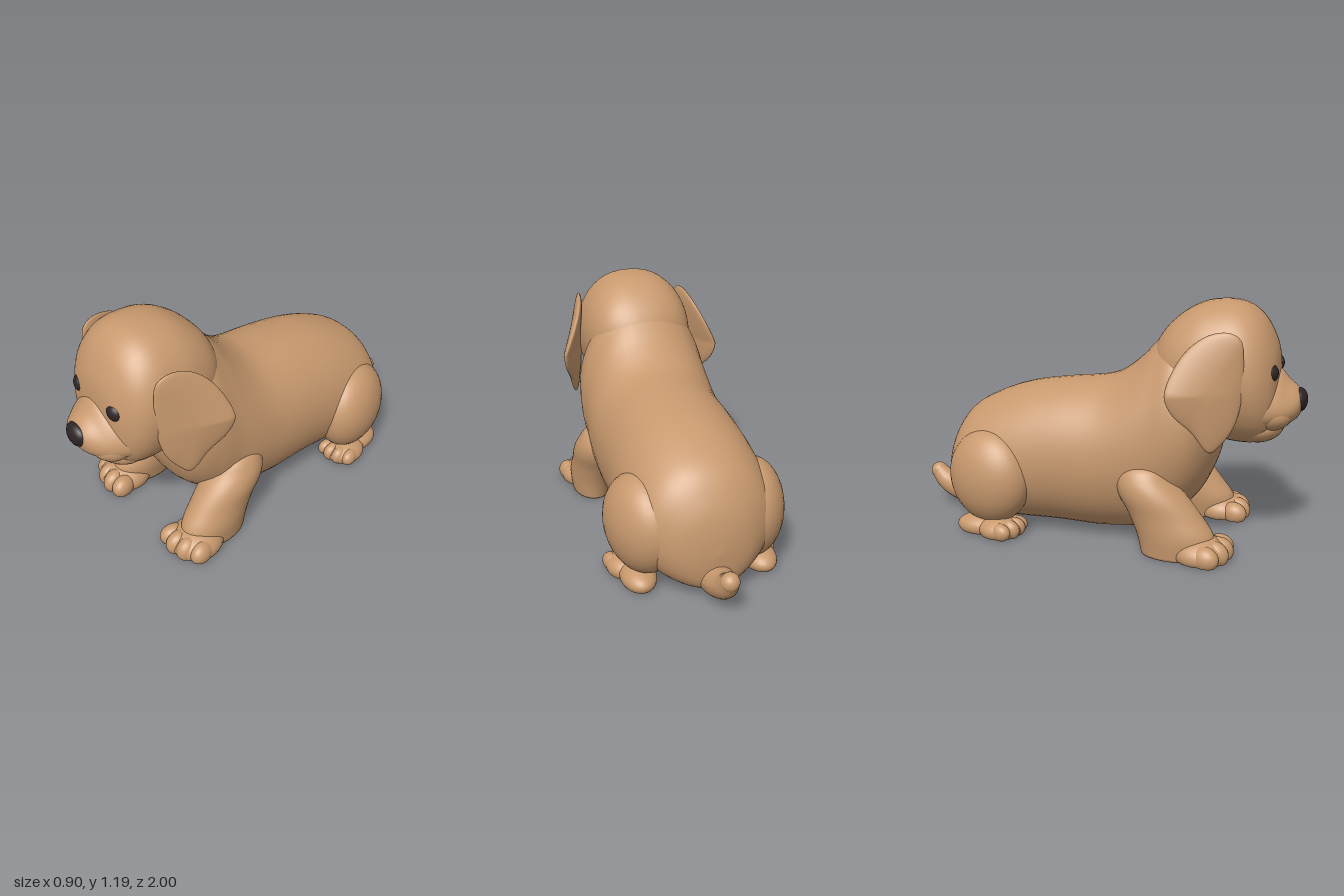
import * as THREE from 'three';
import { mergeGeometries } from 'three/addons/utils/BufferGeometryUtils.js';

const V = (x, y, z) => new THREE.Vector3(x, y, z);

// closed smooth skin over rings of points, capped with a pole at each end
function skin(rings) {
  const n = rings[0].length, pts = rings.flat(), idx = [];
  for (let i = 0; i < rings.length - 1; i++) for (let j = 0; j < n; j++) {
    const a = i * n + j, b = i * n + (j + 1) % n;
    idx.push(a, b, a + n, b, b + n, a + n);
  }
  [[0, true], [rings.length - 1, false]].forEach(([r, first]) => {
    const pole = pts.length;
    pts.push(rings[r].reduce((s, p) => s.add(p), V(0, 0, 0)).divideScalar(n));
    for (let j = 0; j < n; j++) {
      const a = r * n + j, b = r * n + (j + 1) % n;
      first ? idx.push(pole, b, a) : idx.push(pole, a, b);
    }
  });
  const g = new THREE.BufferGeometry().setFromPoints(pts);
  g.setIndex(idx);
  g.computeVertexNormals();
  return g;
}

function catmull(a, b, c, d, t) {
  const m0 = (c - a) / 2, m1 = (d - b) / 2, t2 = t * t, t3 = t2 * t;
  return (2 * t3 - 3 * t2 + 1) * b + (t3 - 2 * t2 + t) * m0 + (3 * t2 - 2 * t3) * c + (t3 - t2) * m1;
}

// loft of egg-shaped sections; rows are [position, low, high, halfWidth, centreX, egg]
function loft(rows, axis, power = 1, steps = 6, sides = 48) {
  const row = i => rows[THREE.MathUtils.clamp(i, 0, rows.length - 1)], rings = [];
  for (let k = 0; k <= (rows.length - 1) * steps; k++) {
    const i = Math.floor(k / steps), t = k / steps - i;
    const [p, lo, hi, w, cx, egg] = [0, 1, 2, 3, 4, 5].map(c =>
      catmull(row(i - 1)[c] ?? 0, row(i)[c] ?? 0, row(i + 1)[c] ?? 0, row(i + 2)[c] ?? 0, t));
    rings.push(Array.from({ length: sides }, (_, j) => {
      const a = j / sides * Math.PI * 2, c = Math.cos(a), s = Math.sin(a);
      const x = cx + w * Math.sign(c) * Math.abs(c) ** power * (1 - egg * s);
      const m = (lo + hi) / 2, r = (hi - lo) / 2;
      return axis === 'z' ? V(x, m + r * s, p) : V(x, p, m - r * s);
    }));
  }
  return skin(rings);
}

// ellipsoid, flattened where it meets the ground
function blob(x, y, z, rx, ry, rz, turn = 0) {
  const g = new THREE.SphereGeometry(1, 32, 20).scale(rx, ry, rz).rotateY(turn).translate(x, y, z);
  const p = g.attributes.position;
  let cut = false;
  for (let i = 0; i < p.count; i++) if (p.getY(i) < 0.004) { p.setY(i, 0.004); cut = true; }
  if (cut) g.computeVertexNormals();
  return g;
}

function mirrored(g) {
  const m = g.clone().scale(-1, 1, 1);
  const ix = m.index.array;
  for (let i = 0; i < ix.length; i += 3) [ix[i], ix[i + 1]] = [ix[i + 1], ix[i]];
  m.computeVertexNormals();
  return m;
}

// foot with four shallow toes fanned across its front
function paw(x, z, rx, ry, rz) {
  const parts = [blob(x, 0.035, z, rx, ry, rz)];
  for (let i = 0; i < 4; i++) {
    const u = (i - 1.5) / 1.5;
    parts.push(blob(x + u * rx * 0.66, 0.04, z + rz * (0.58 - 0.18 * u * u - 0.14 * u),
      rx * 0.38, ry * (0.82 - 0.12 * u * u), rz * 0.52, u * 0.3));
  }
  return mergeGeometries(parts);
}

// hanging ear: a padded leaf that flares outward to the rear, most of all low down
function ear() {
  const outline = new THREE.CatmullRomCurve3([
    [0.73, 0.96], [0.715, 1.045], [0.66, 1.075], [0.57, 1.06], [0.48, 0.99], [0.42, 0.88],
    [0.405, 0.79], [0.44, 0.71], [0.52, 0.63], [0.6, 0.53], [0.645, 0.565], [0.7, 0.65], [0.73, 0.79],
  ].map(([z, y]) => V(0, y, z)), true).getPoints(64).slice(0, 64).reverse();
  const rings = [];
  for (let k = 23; k > 0; k--) {
    const a = k / 24 * Math.PI, r = Math.sin(a), thick = 0.032 * Math.cos(a);
    rings.push(outline.map(p => {
      const y = 0.82 + (p.y - 0.82) * r, z = 0.58 + (p.z - 0.58) * r;
      const flare = 0.43 - 1.1 * Math.max(0, y - 0.8);
      return V(0.278 + (0.73 - z) * flare + thick, y, z);
    }));
  }
  return skin(rings);
}

// curled tail: a tube thinned toward its tip
function tail() {
  const path = new THREE.CatmullRomCurve3([
    V(0, 0.11, -0.7), V(0, 0.11, -0.82), V(0, 0.14, -0.905), V(0, 0.19, -0.956)]);
  const g = new THREE.TubeGeometry(path, 24, 1, 24), p = g.attributes.position, v = V(0, 0, 0);
  for (let i = 0; i < p.count; i++) {
    const t = Math.floor(i / 25) / 24, c = path.getPointAt(t);
    v.fromBufferAttribute(p, i).sub(c).multiplyScalar(0.09 - 0.046 * t ** 1.3).add(c);
    p.setXYZ(i, v.x, v.y, v.z);
  }
  g.computeVertexNormals();
  return mergeGeometries([g, blob(0, 0.19, -0.956, 0.044, 0.044, 0.044)]);
}

// nose pad, wider at the top
function nosePad() {
  const g = new THREE.SphereGeometry(1, 32, 20).scale(0.066, 0.058, 0.04);
  const p = g.attributes.position;
  for (let i = 0; i < p.count; i++) p.setX(i, p.getX(i) * (1 + 2 * p.getY(i)));
  g.computeVertexNormals();
  return g.translate(0, 0.73, 0.96);
}

export function createModel() {
  const group = new THREE.Group();
  const fur = new THREE.MeshStandardMaterial({ color: 0xc8996e });
  fur.name = 'tan fur';
  const dark = new THREE.MeshStandardMaterial({ color: 0x2e2426 });
  dark.name = 'dark nose and eyes';
  const add = (name, g, mat = fur) => {
    const m = new THREE.Mesh(g, mat);
    m.name = name;
    group.add(m);
  };
  const pair = (name, g, mat) => {
    add(name + 'Left', g, mat);
    add(name + 'Right', mirrored(g), mat);
  };

  // torso rising into the neck
  add('body', loft([
    [-0.828, 0.23, 0.25, 0.01], [-0.815, 0.11, 0.36, 0.11], [-0.78, 0.05, 0.47, 0.2],
    [-0.7, 0.03, 0.59, 0.295, 0, 0.04], [-0.58, 0.02, 0.665, 0.34, 0, 0.05], [-0.4, 0.02, 0.73, 0.352, 0, 0.04],
    [-0.2, 0.02, 0.765, 0.35], [0, 0.015, 0.79, 0.35], [0.1, 0.02, 0.825, 0.35],
    [0.2, 0.03, 0.9, 0.35, 0, 0.02], [0.3, 0.06, 1.005, 0.345, 0, 0.06], [0.4, 0.13, 1.08, 0.345, 0, 0.08],
    [0.5, 0.23, 1.0, 0.325], [0.56, 0.34, 0.9, 0.26], [0.6, 0.46, 0.8, 0.16], [0.615, 0.62, 0.64, 0.01],
  ], 'z', 0.93));

  // skull
  add('head', loft([
    [0.25, 0.84, 0.86, 0.01], [0.28, 0.75, 0.98, 0.14], [0.36, 0.66, 1.09, 0.24], [0.48, 0.57, 1.17, 0.285],
    [0.6, 0.53, 1.192, 0.298], [0.7, 0.515, 1.178, 0.295], [0.78, 0.52, 1.12, 0.268],
    [0.835, 0.55, 1.03, 0.21], [0.862, 0.62, 0.94, 0.135], [0.875, 0.77, 0.79, 0.01],
  ], 'z', 0.86));

  // snout, lips and jaw
  add('muzzle', loft([
    [0.7, 0.57, 0.92, 0.22, 0, 0.4], [0.8, 0.585, 0.91, 0.205, 0, 0.4], [0.865, 0.6, 0.88, 0.175, 0, 0.4],
    [0.91, 0.615, 0.83, 0.148, 0, 0.3], [0.95, 0.64, 0.795, 0.108, 0, 0.15], [0.97, 0.67, 0.77, 0.07],
    [0.978, 0.715, 0.725, 0.01],
  ], 'z'));
  pair('lip', blob(0.08, 0.672, 0.84, 0.11, 0.078, 0.1, 0.3));
  add('jaw', blob(0, 0.602, 0.77, 0.18, 0.085, 0.128));
  add('nose', nosePad(), dark);

  pair('eye', blob(0.14, 0.875, 0.836, 0.044, 0.043, 0.034, 0.4), dark);
  pair('ear', ear());

  // front legs reaching forward
  pair('frontLeg', loft([
    [0.004, 0.28, 0.6, 0.1, 0.3], [0.1, 0.255, 0.63, 0.115, 0.295], [0.2, 0.21, 0.565, 0.118, 0.288],
    [0.29, 0.16, 0.49, 0.122, 0.285], [0.36, 0.15, 0.42, 0.11, 0.28], [0.42, 0.18, 0.37, 0.08, 0.27],
    [0.45, 0.27, 0.29, 0.01, 0.26],
  ], 'y'));
  pair('frontPaw', paw(0.308, 0.568, 0.133, 0.083, 0.135));

  // folded hind legs
  pair('haunch', blob(0.272, 0.29, -0.52, 0.156, 0.24, 0.232, 0.28));
  pair('hindFoot', mergeGeometries([
    blob(0.3, 0.035, -0.56, 0.085, 0.06, 0.13), paw(0.325, -0.45, 0.1, 0.064, 0.11)]));

  add('tail', tail());
  return group;
}
